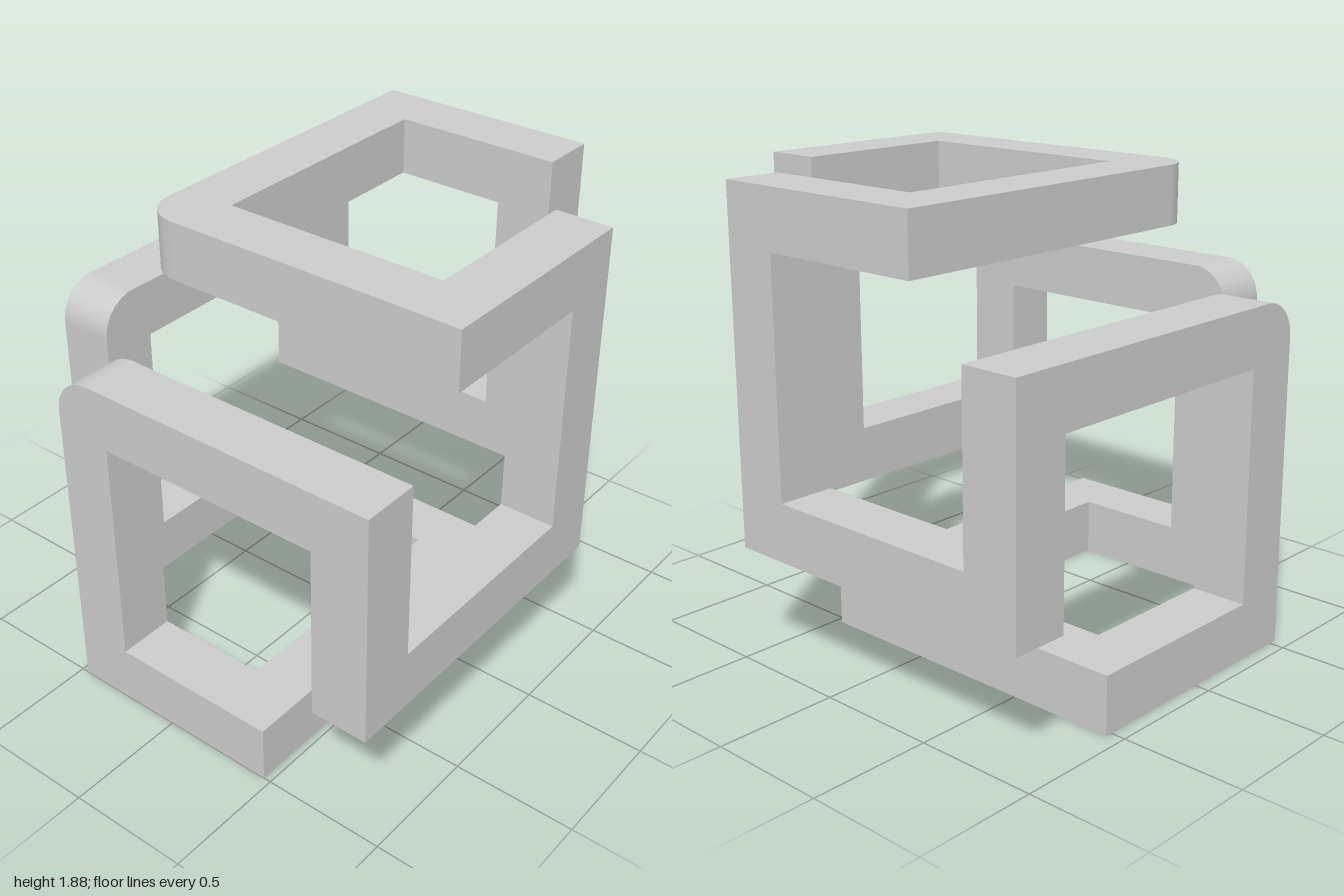
import * as THREE from 'three';

const W = 0.235;          // square bar width
const H = W / 2;
const R = 0.155;          // radius of the three softened corners

// Corners of the closed loop along the bar's centreline; 'true' marks a rounded one
const CORNERS = [
  // front frame
  [-0.3525, 1.295, 0.8825, true], [0.8225, 1.295, 0.8825], [0.8225, 0.5875, 0.8825],
  // side run and top frame
  [0.8225, 0.5875, -0.29], [0.8225, 1.7625, -0.29], [0.8225, 1.7625, 0.4125],
  [-0.3525, 1.7625, 0.4125, true], [-0.3525, 1.7625, -0.8825], [0.3525, 1.7625, -0.8825],
  // back run and other side frame
  [0.3525, 0.5875, -0.8825], [-0.8225, 0.5875, -0.8825], [-0.8225, 1.295, -0.8825],
  [-0.8225, 1.295, 0.4125, true], [-0.8225, 0.1175, 0.4125], [-0.8225, 0.1175, -0.4125],
  // bottom frame
  [0.3525, 0.1175, -0.4125], [0.3525, 0.1175, 0.8825], [-0.3525, 0.1175, 0.8825],
];

// Square block with one softened edge at +x +y
function roundedCornerGeometry() {
  const s = new THREE.Shape();
  s.moveTo(-H, -H);
  s.lineTo(H, -H);
  s.lineTo(H, H - R);
  s.absarc(H - R, H - R, R, 0, Math.PI / 2, false);
  s.lineTo(-H, H);
  s.closePath();
  return new THREE.ExtrudeGeometry(s, { depth: W, bevelEnabled: false, curveSegments: 8 }).translate(0, 0, -H);
}

export function createModel() {
  const group = new THREE.Group();
  group.name = 'interlockedLoop';
  const material = new THREE.MeshStandardMaterial({ color: 0xcccccc, flatShading: true });
  const points = CORNERS.map(([x, y, z]) => new THREE.Vector3(x, y, z));
  const n = points.length;

  points.forEach((p, i) => {
    const next = points[(i + 1) % n];
    const prev = points[(i + n - 1) % n];
    const dir = next.clone().sub(p).normalize();
    const rounded = CORNERS[i][3];

    // Straight bar: includes its starting corner unless that corner is rounded
    const start = p.clone().addScaledVector(dir, rounded ? H : -H);
    const end = next.clone().addScaledVector(dir, -H);
    const length = start.distanceTo(end);
    const size = dir.toArray().map((d) => (Math.abs(d) > 0.5 ? length : W));
    const bar = new THREE.Mesh(new THREE.BoxGeometry(...size), material);
    bar.position.copy(start).add(end).multiplyScalar(0.5);
    bar.name = `bar${i + 1}`;
    group.add(bar);

    // Rounded corner, its soft edge facing away from both neighbouring bars
    if (rounded) {
      const x = p.clone().sub(prev).normalize();
      const y = dir.clone().negate();
      const z = x.clone().cross(y);
      const corner = new THREE.Mesh(roundedCornerGeometry(), material);
      corner.quaternion.setFromRotationMatrix(new THREE.Matrix4().makeBasis(x, y, z));
      corner.position.copy(p);
      corner.name = `roundedCorner${i + 1}`;
      group.add(corner);
    }
  });
  return group;
}
